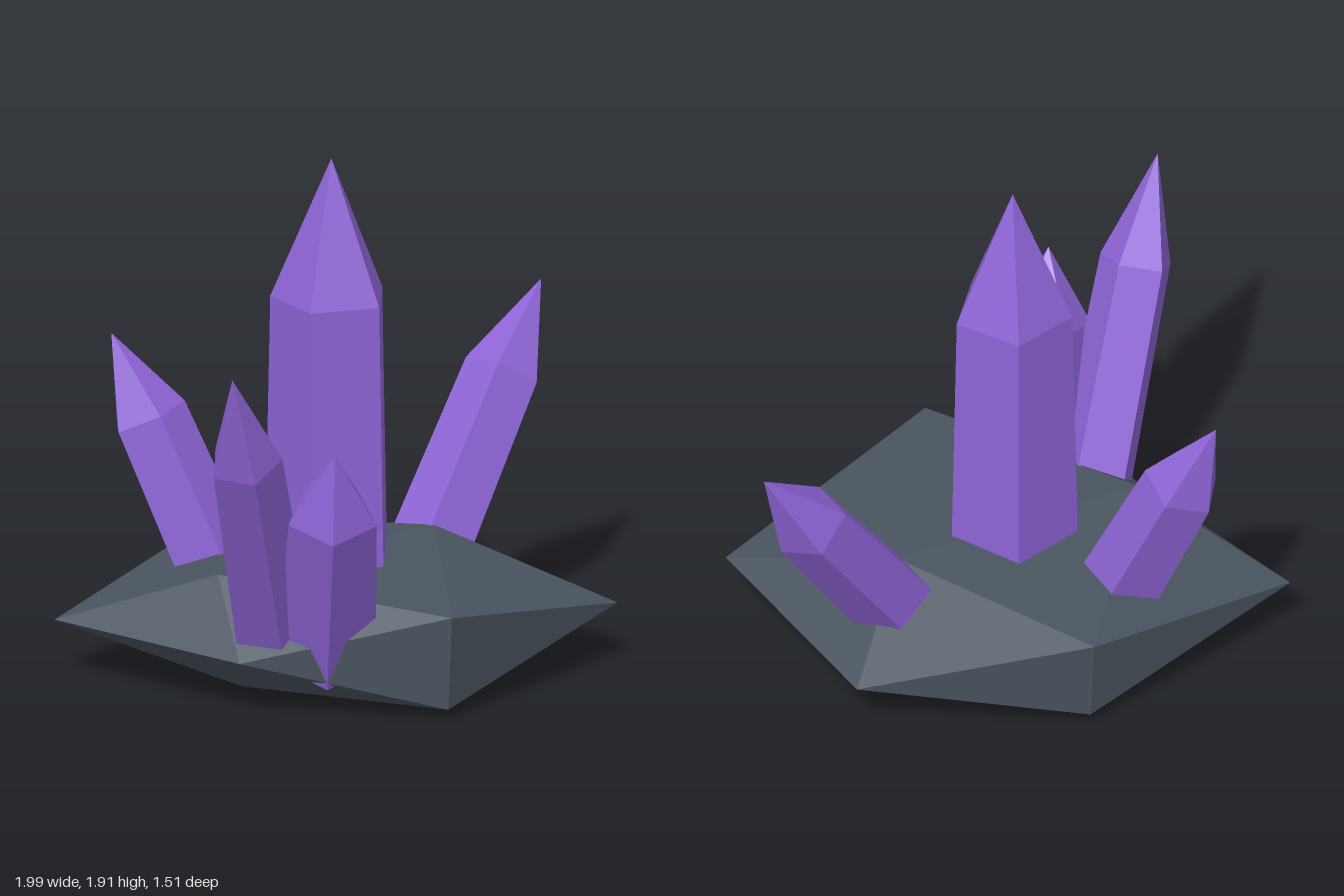
import * as THREE from 'three';
import { ConvexGeometry } from 'three/addons/geometries/ConvexGeometry.js';

const rockMaterial = new THREE.MeshStandardMaterial({ color: 0x4a5560, flatShading: true });
rockMaterial.name = 'slate rock';
const crystalMaterial = new THREE.MeshStandardMaterial({ color: 0x8e64d6, flatShading: true });
crystalMaterial.name = 'purple crystal';

// Five-sided pointed crystal; lean is the axis direction, corner is the heading of one edge in degrees
function makeCrystal({ name, tip, lean, baseY, radius, corner }) {
  const axis = new THREE.Vector3(...lean);
  const top = new THREE.Vector3(...tip);
  const base = top.clone().addScaledVector(axis, (baseY - top.y) / axis.y);
  const length = top.distanceTo(base);
  const profile = [[0, 0], [radius, 0], [radius * 0.9, length * 0.7], [0, length]]
    .map(([r, y]) => new THREE.Vector2(r, y));
  const phase = THREE.MathUtils.degToRad(90 - corner);
  const mesh = new THREE.Mesh(new THREE.LatheGeometry(profile, 5, phase), crystalMaterial);
  mesh.name = name;
  mesh.position.copy(base);
  mesh.quaternion.setFromUnitVectors(new THREE.Vector3(0, 1, 0), axis.normalize());
  return mesh;
}

export function createModel() {
  const model = new THREE.Group();
  model.name = 'crystalCluster';

  // Rock: a squashed, uneven twenty-sided boulder
  const corners = [
    [-0.61, 0.435, -0.02], [0.35, 0.44, -0.07],                       // top
    [-0.12, 0.39, 0.755], [-0.12, 0.38, -0.755],                      // upper front and back
    [-1, 0.21, -0.49], [-0.73, 0.205, 0.3], [0.67, 0.21, -0.44], [0.79, 0.21, 0.455], // sides
    [-0.12, 0.04, 0.73], [-0.12, 0.05, -0.72],                        // lower front and back
    [-0.52, 0.005, 0], [0.27, 0, -0.02],                              // bottom
  ].map((p) => new THREE.Vector3(...p));
  const rock = new THREE.Mesh(new ConvexGeometry(corners), rockMaterial);
  rock.name = 'rockBase';
  model.add(rock);

  // Crystals: one upright, four leaning outwards
  const crystals = [
    { name: 'mainCrystal', tip: [-0.12, 1.91, -0.025], lean: [0, 1, 0], baseY: 0.18, radius: 0.243, corner: 0 },
    { name: 'leftCrystal', tip: [0.99, 1.18, -0.34], lean: [0.69, 1, -0.21], baseY: 0.18, radius: 0.16, corner: -8 },
    { name: 'rightCrystal', tip: [-0.96, 1.39, 0.6], lean: [-0.37, 1, 0.33], baseY: 0.19, radius: 0.15, corner: 37 },
    { name: 'frontCrystal', tip: [-0.56, 1.05, 0.66], lean: [-0.21, 1, 0.38], baseY: 0.18, radius: 0.185, corner: 50 },
    { name: 'backCrystal', tip: [-0.62, 1.165, -0.695], lean: [-0.28, 1, -0.37], baseY: 0.17, radius: 0.16, corner: 30 },
  ];
  for (const c of crystals) model.add(makeCrystal(c));
  return model;
}
